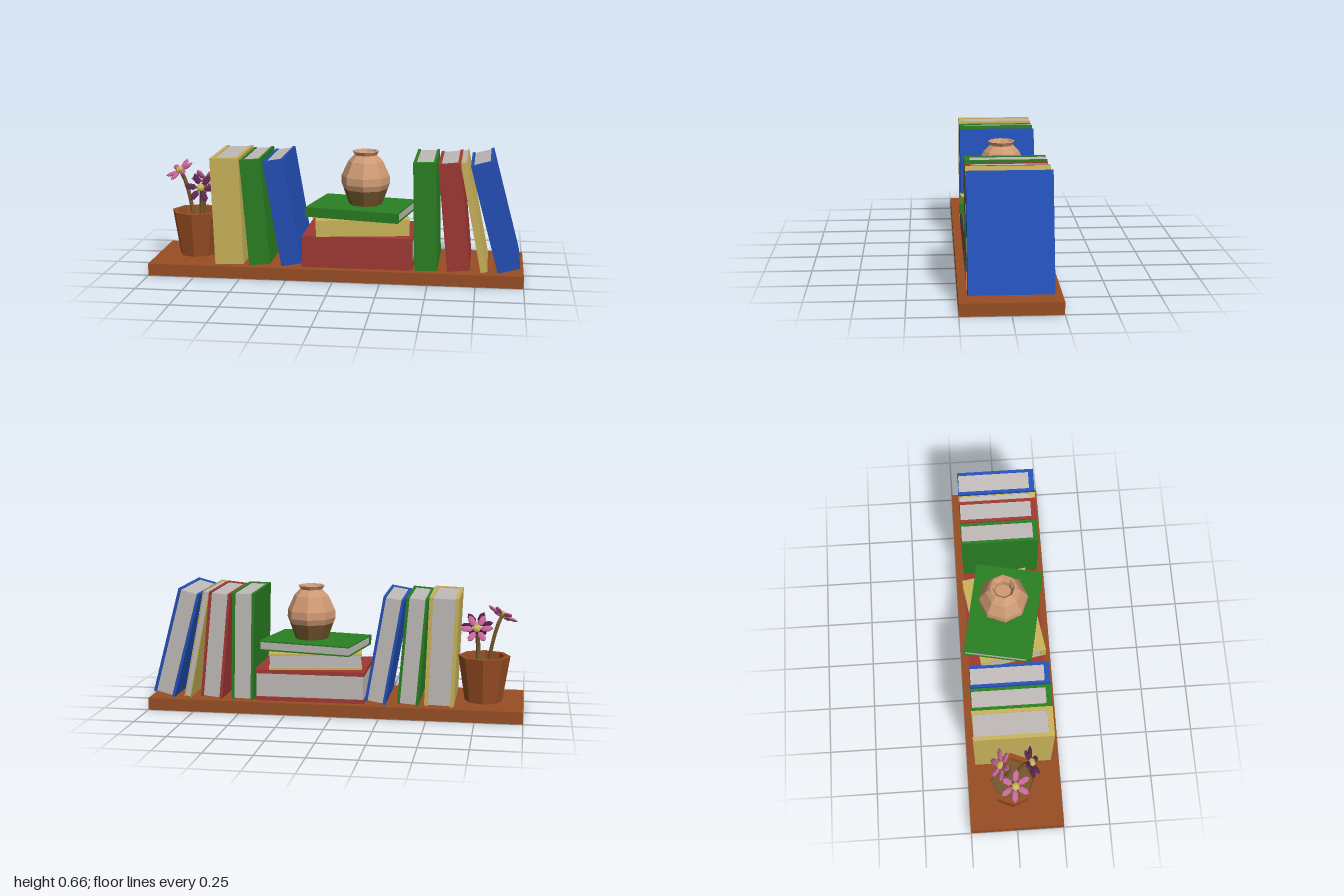
import * as THREE from 'three';

const mat = (name, color, side = THREE.FrontSide) => {
  const m = new THREE.MeshStandardMaterial({ color, side, flatShading: true });
  m.name = name;
  return m;
};

export function createModel() {
  const model = new THREE.Group();
  model.name = 'bookshelf';
  const blue = mat('blue', 0x2450b8), red = mat('red', 0xa03834);
  const green = mat('green', 0x2a7f22), yellow = mat('yellow', 0xc9b35a);
  const paper = mat('paper', 0xbfbab7), wood = mat('wood', 0x984e24, THREE.DoubleSide);
  const clay = mat('clay', 0xcf9a74, THREE.DoubleSide), olive = mat('olive', 0x75592c, THREE.DoubleSide);
  const pink = mat('pink', 0xc8659a), purple = mat('purple', 0x5c2650);

  const add = (parent, name, geometry, material, x = 0, y = 0, z = 0) => {
    const mesh = new THREE.Mesh(geometry, material);
    mesh.name = name;
    mesh.position.set(x, y, z);
    parent.add(mesh);
    return mesh;
  };
  const box = (parent, name, w, h, d, material, x, y, z) =>
    add(parent, name, new THREE.BoxGeometry(w, h, d), material, x, y, z);

  // Shelf board
  box(model, 'shelf', 2, 0.065, 0.5, wood, 0, 0.0325, 0);

  // Book: thickness along x, height along y, spine at +z
  const book = (name, cover, t, h, d) => {
    const g = new THREE.Group();
    g.name = name;
    const c = t * 0.13, s = 0.028, inset = 0.005;
    for (const side of [-1, 1]) box(g, 'cover', c, h, d, cover, side * (t - c) / 2, 0, 0);
    box(g, 'spine', t - 2 * c, h, s, cover, 0, 0, (d - s) / 2);
    box(g, 'pages', t - 2 * c, h - 2 * inset, d - s - inset, paper, 0, 0, (inset - s) / 2);
    model.add(g);
    return g;
  };

  // Standing books lean left about their lower left edge: [name, colour, x, thickness, height, lean]
  const standing = [
    ['yellowBookLeft', yellow, -0.64, 0.155, 0.575, 0.035],
    ['greenBookLeft', green, -0.455, 0.113, 0.57, 0.08],
    ['blueBookLeft', blue, -0.28, 0.11, 0.57, 0.17],
    ['greenBookRight', green, 0.43, 0.12, 0.577, 0.025],
    ['redBookRight', red, 0.602, 0.118, 0.573, 0.1],
    ['thinYellowBook', yellow, 0.777, 0.035, 0.592, 0.2],
    ['blueBookRight', blue, 0.865, 0.12, 0.585, 0.263],
  ];
  for (const [name, cover, x, t, h, a] of standing) {
    const g = book(name, cover, t, h, 0.412);
    g.rotation.z = a;
    const cos = Math.cos(a), sin = Math.sin(a);
    g.position.set(x + cos * t / 2 - sin * h / 2, 0.065 + sin * t / 2 + cos * h / 2, 0);
  }

  // Lying books: [name, colour, bottom y, thickness, length, depth, turn]
  const lying = [
    ['redBookStacked', red, 0.065, 0.17, 0.585, 0.412, 0],
    ['yellowBookStacked', yellow, 0.235, 0.087, 0.495, 0.357, 0.16],
    ['greenBookStacked', green, 0.322, 0.053, 0.512, 0.367, -0.195],
  ];
  for (const [name, cover, y, t, h, d, turn] of lying) {
    const g = book(name, cover, t, h, d);
    g.rotation.set(0, turn, Math.PI / 2);
    g.position.set(0.125, y + t / 2, 0);
  }

  // Vase with a darker base
  const lathe = (points, sides) =>
    new THREE.LatheGeometry(points.map(([r, y]) => new THREE.Vector2(r, y)), sides);
  const vase = new THREE.Group();
  vase.name = 'vase';
  vase.position.set(0.148, 0.375, 0);
  add(vase, 'vaseBase', lathe([[0, 0], [0.09, 0], [0.12, 0.085]], 8), olive);
  add(vase, 'vaseBody', lathe([[0.12, 0.085], [0.132, 0.115], [0.13, 0.155], [0.093, 0.235], [0.06, 0.268],
    [0.072, 0.288], [0.062, 0.29], [0.045, 0.262], [0.045, 0.22], [0, 0.22]], 8), clay);
  model.add(vase);

  // Flower pot with soil
  const plant = new THREE.Group();
  plant.name = 'pottedPlant';
  plant.position.set(-0.787, 0.065, -0.015);
  add(plant, 'pot', lathe([[0, 0], [0.1, 0], [0.138, 0.245], [0.113, 0.245], [0.108, 0.2]], 8), wood);
  add(plant, 'soil', new THREE.CylinderGeometry(0.108, 0.1, 0.02, 8), olive, 0, 0.195, 0);
  model.add(plant);

  // Flowers: [petal colour, head position, facing direction, stem foot]
  const petalShape = new THREE.SphereGeometry(1, 6, 5);
  const flowers = [
    [pink, [-0.088, 0.462, 0.005], [-0.45, 0.8, 0.35], [-0.02, 0.19, 0]],
    [purple, [0.045, 0.388, 0.095], [0.1, 0.45, 0.9], [0.025, 0.19, 0.03]],
    [pink, [0.04, 0.395, -0.055], [0.05, 0.6, -0.8], [0.03, 0.19, -0.03]],
  ];
  for (const [color, at, facing, foot] of flowers) {
    const head = new THREE.Vector3(...at), dir = new THREE.Vector3(...facing).normalize();
    const root = new THREE.Vector3(...foot);
    const bend = head.clone().addScaledVector(dir, -0.08);
    const curve = new THREE.QuadraticBezierCurve3(root, bend, head);
    add(plant, 'stem', new THREE.TubeGeometry(curve, 6, 0.011, 6), olive);
    const flower = new THREE.Group();
    flower.name = 'flower';
    flower.position.copy(head);
    flower.quaternion.setFromUnitVectors(new THREE.Vector3(0, 1, 0), dir);
    add(flower, 'flowerCentre', petalShape, yellow, 0, 0.01, 0).scale.set(0.024, 0.016, 0.024);
    for (let i = 0; i < 6; i++) {
      const spoke = new THREE.Group();
      spoke.name = 'petalSpoke';
      spoke.rotation.y = i * Math.PI / 3;
      const petal = add(spoke, 'petal', petalShape, color, 0.052, 0.006, 0);
      petal.scale.set(0.036, 0.009, 0.019);
      petal.rotation.z = 0.15;
      flower.add(spoke);
    }
    plant.add(flower);
  }
  return model;
}
